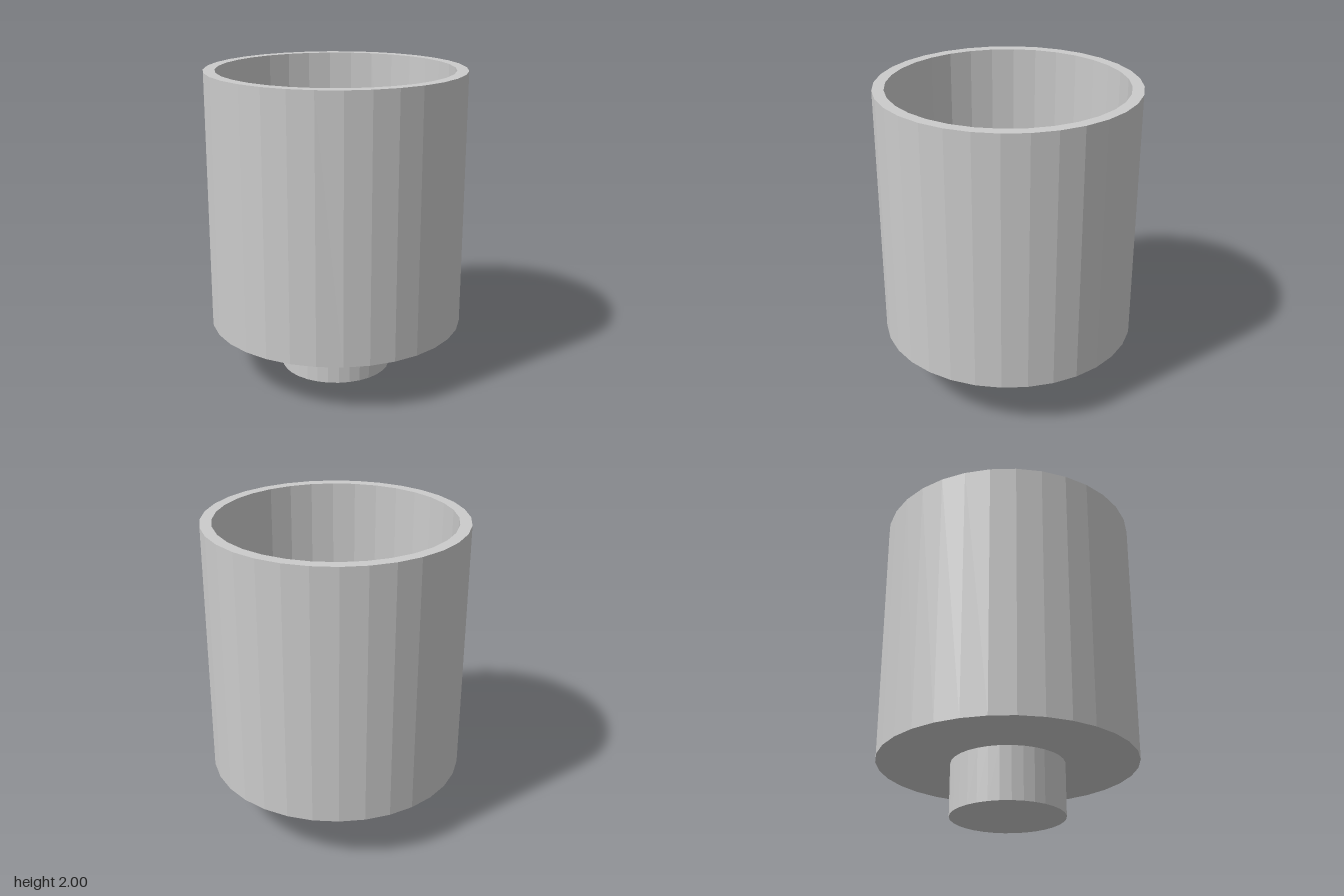
import * as THREE from 'three';

const SIDES = 32;
const STEM_R = 0.363, STEM_H = 0.34;
const CUP_R = 0.83, BORE_R = 0.757, FLOOR_Y = 0.413, TOP_Y = 2;

export function createModel() {
  const group = new THREE.Group();
  const material = new THREE.MeshStandardMaterial({ color: 0xcccccc, flatShading: true });

  const add = (name, geometry, y = 0) => {
    const mesh = new THREE.Mesh(geometry, material);
    mesh.name = name;
    mesh.position.y = y;
    group.add(mesh);
  };

  // Hollow cup: underside, outer wall, rim, bore and inner floor in one profile
  const profile = [
    [0, STEM_H], [CUP_R, STEM_H], [CUP_R, TOP_Y],
    [BORE_R, TOP_Y], [BORE_R, FLOOR_Y], [0, FLOOR_Y],
  ].map(([r, y]) => new THREE.Vector2(r, y));
  add('cup', new THREE.LatheGeometry(profile, SIDES));

  // Solid stem under the cup
  add('stem', new THREE.CylinderGeometry(STEM_R, STEM_R, STEM_H, SIDES), STEM_H / 2);

  // Domed boss rising from the inner floor
  add('dome', new THREE.SphereGeometry(STEM_R, SIDES, 8, 0, Math.PI * 2, 0, Math.PI / 2), FLOOR_Y);

  return group;
}
